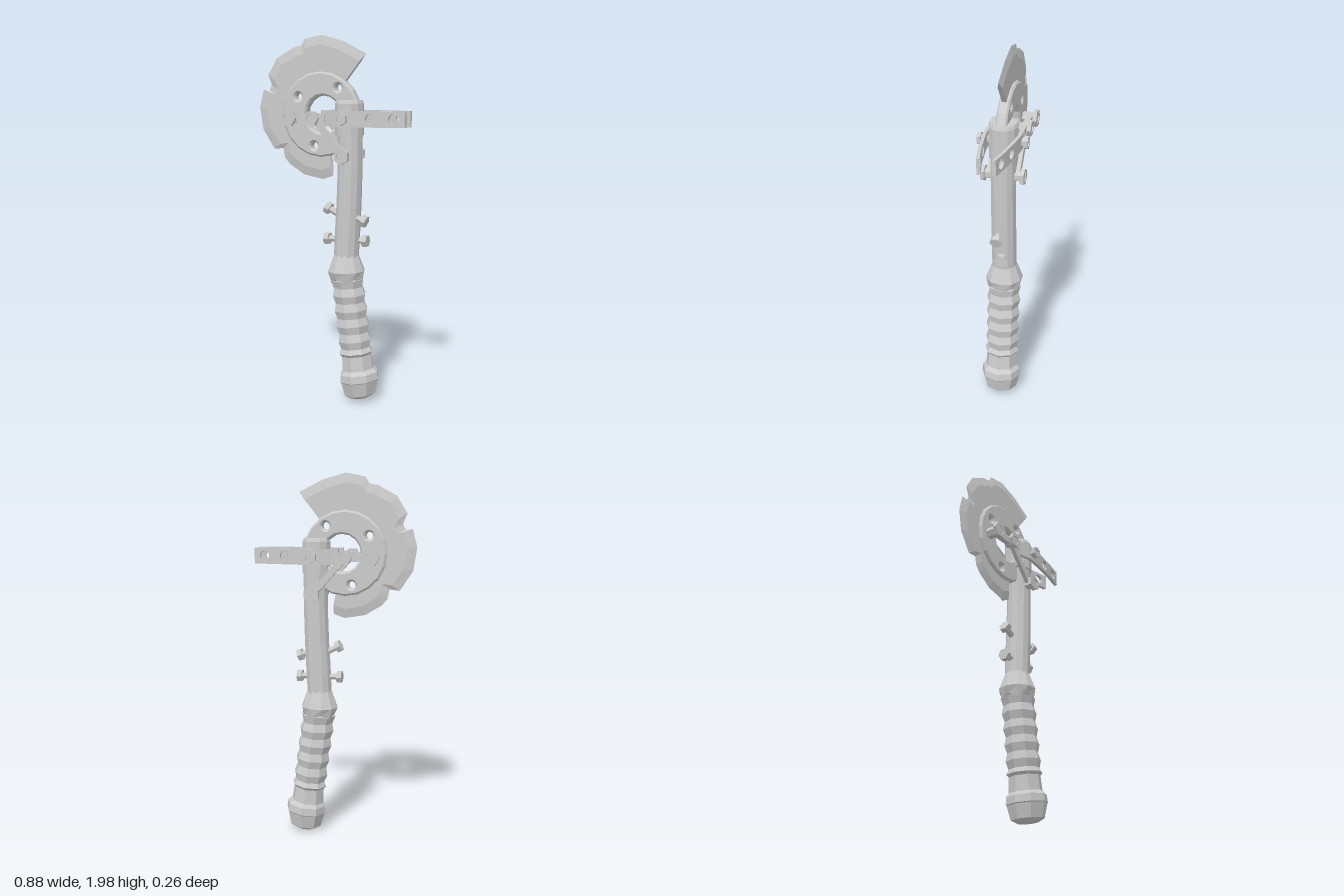
import * as THREE from 'three';

const mat = new THREE.MeshStandardMaterial({ color: 0xcccccc, flatShading: true, side: THREE.DoubleSide });

function add(parent, name, geo) {
  const mesh = new THREE.Mesh(geo, mat);
  mesh.name = name;
  parent.add(mesh);
  return mesh;
}

function fromTriangles(tris) {
  const geo = new THREE.BufferGeometry();
  geo.setAttribute('position', new THREE.Float32BufferAttribute(tris.flat(), 3));
  geo.computeVertexNormals();
  return geo;
}

// Stack of rings, bottom to top; each row is [x, y, radius, tilt, zigzag]
function loft(rows, sides) {
  const rings = rows.map(([x, y, r, tilt = 0, zig = 0]) =>
    Array.from({ length: sides }, (_, i) => {
      const a = (i / sides) * Math.PI * 2, u = Math.cos(a) * r, h = i % 2 ? zig : -zig;
      return [x + u * Math.cos(tilt) - h * Math.sin(tilt), y + u * Math.sin(tilt) + h, Math.sin(a) * r];
    }));
  const t = [], last = rings.length - 1;
  for (let i = 0; i < sides; i++) {
    const j = (i + 1) % sides;
    for (let k = 0; k < last; k++) {
      const lo = rings[k], up = rings[k + 1];
      t.push(lo[i], up[i], lo[j], up[i], up[j], lo[j]);
    }
    t.push([rows[0][0], rows[0][1], 0], rings[0][i], rings[0][j]);
    t.push([rows[last][0], rows[last][1], 0], rings[last][j], rings[last][i]);
  }
  return fromTriangles(t);
}

function circle(Kind, x, y, r, n, turn = 0) {
  return new Kind(Array.from({ length: n }, (_, i) => {
    const a = (i / n) * Math.PI * 2 + turn;
    return new THREE.Vector2(x + Math.cos(a) * r, y + Math.sin(a) * r);
  }));
}

// Flat plate whose faces lie at z and z + depth, on side s of the head
function plate(parent, name, shape, z, depth, s) {
  const geo = new THREE.ExtrudeGeometry(shape, { depth, bevelEnabled: false });
  geo.translate(0, 0, s > 0 ? z : -z - depth);
  return add(parent, name, geo);
}

// Straight bar between two points in the xy plane
function barShape(x0, y0, x1, y1, w) {
  const d = Math.hypot(x1 - x0, y1 - y0), nx = (-(y1 - y0) / d) * w / 2, ny = ((x1 - x0) / d) * w / 2;
  return new THREE.Shape([[x0 - nx, y0 - ny], [x1 - nx, y1 - ny], [x1 + nx, y1 + ny], [x0 + nx, y0 + ny]]
    .map(p => new THREE.Vector2(...p)));
}

const C = [-0.055, 1.58]; // centre of the round blade

function bladeGeometry() {
  const outline = [[0.2, 1.9], [0.07, 1.965], [-0.055, 2], [-0.16, 1.98], [-0.18, 1.945], [-0.23, 1.935],
    [-0.255, 1.92], [-0.33, 1.88], [-0.385, 1.79], [-0.363, 1.735], [-0.378, 1.705], [-0.415, 1.71],
    [-0.44, 1.615], [-0.42, 1.49], [-0.35, 1.385], [-0.295, 1.39], [-0.285, 1.34], [-0.255, 1.305],
    [-0.165, 1.25], [-0.05, 1.23], [0.01, 1.25], [0.013, 1.29]];
  // Wedge section at every outline point: back face, sharp edge, front face
  const sec = outline.map(([x, y]) => {
    const dx = x - C[0], dy = y - C[1], d = Math.hypot(dx, dy);
    const at = (r, z) => [C[0] + dx / d * r, C[1] + dy / d * r, z];
    return [at(0.2, -0.012), at(d - 0.05, -0.012), [x, y, 0], at(d - 0.05, 0.012), at(0.2, 0.012)];
  });
  const t = [];
  for (let i = 0; i < sec.length - 1; i++) {
    const a = sec[i], b = sec[i + 1];
    for (let k = 0; k < 4; k++) t.push(a[k], b[k], a[k + 1], b[k], b[k + 1], a[k + 1]);
  }
  const s = sec[0], e = sec[sec.length - 1];
  for (let k = 1; k < 4; k++) t.push(s[0], s[k], s[k + 1], e[0], e[k + 1], e[k]);
  return fromTriangles(t);
}

// Strap bent around the collar: [x, inner z] along its length
function strap(parent, s) {
  const nodes = [[-0.03, 0.05], [0.03, 0.066], [0.08, 0.08], [0.13, 0.08], [0.2, 0.072], [0.32, 0.055], [0.44, 0.03]];
  const group = new THREE.Group();
  group.name = 'bentStrap';
  parent.add(group);
  for (let i = 0; i < nodes.length - 1; i++) {
    const [x0, z0] = nodes[i], [x1, z1] = nodes[i + 1];
    const shape = barShape(x0, 1.562, x1, 1.562, 0.085);
    if (i > 3) shape.holes.push(circle(THREE.Path, i === 4 ? 0.26 : 0.38, 1.562, 0.028, 12));
    const geo = new THREE.ExtrudeGeometry(shape, { depth: 0.018, bevelEnabled: false });
    const p = geo.attributes.position;
    for (let v = 0; v < p.count; v++) {
      const inner = z0 + (z1 - z0) * (p.getX(v) - x0) / (x1 - x0);
      p.setZ(v, p.getZ(v) + (s > 0 ? inner : -inner - 0.018));
    }
    geo.computeVertexNormals();
    add(group, 'strapSegment', geo);
  }
}

// Hex nut with a recessed stud, facing outwards in z
function nut(parent, name, x, y, r, z0, z1, s, turn = 0) {
  const group = new THREE.Group();
  group.name = name;
  parent.add(group);
  const ring = circle(THREE.Shape, x, y, r, 6, turn);
  ring.holes.push(circle(THREE.Path, x, y, r * 0.62, 6, turn));
  plate(group, 'nutRing', ring, z1 - 0.02, 0.02, s);
  plate(group, 'stud', circle(THREE.Shape, x, y, r * 0.64, 6, turn), z0, z1 - 0.006 - z0, s);
}

// Small bolt sticking out of the shaft, from base point to head end
function shaftBolt(parent, from, to) {
  const a = new THREE.Vector3(...from), b = new THREE.Vector3(...to), len = a.distanceTo(b);
  const group = new THREE.Group();
  group.name = 'shaftBolt';
  group.position.copy(a);
  group.quaternion.setFromUnitVectors(new THREE.Vector3(0, 1, 0), b.clone().sub(a).normalize());
  parent.add(group);
  add(group, 'boltShank', new THREE.CylinderGeometry(0.018, 0.018, len, 6)).position.y = len / 2;
  add(group, 'boltHead', new THREE.CylinderGeometry(0.034, 0.034, 0.028, 6)).position.y = len - 0.014;
}

export function createModel() {
  const model = new THREE.Group();
  model.name = 'handAxe';

  // Pommel
  add(model, 'pommel', loft([[0.178, 0.03, 0.055, 0.15], [0.177, 0.05, 0.09, 0.15], [0.173, 0.125, 0.108, 0.14],
    [0.172, 0.13, 0.112, 0.14], [0.168, 0.17, 0.108, 0.14], [0.163, 0.19, 0.09, 0.14]], 8));

  // Ribbed grip
  const grip = [[0.165, 0.16, 0.092, 0.14], [0.153, 0.27, 0.085, 0.13], [0.151, 0.285, 0.097, 0.13]];
  for (let i = 0; i <= 9; i++) {
    const y = 0.31 + i * 0.042;
    grip.push([0.148 - 0.052 * i / 9, y, i % 2 ? 0.095 : 0.083, 0.13 - 0.008 * i]);
  }
  add(model, 'grip', loft(grip, 8));

  // Flared ferrule with a jagged lower rim, and the shaft
  add(model, 'ferrule', loft([[0.095, 0.685, 0.088, 0.05, 0.013], [0.09, 0.735, 0.102, 0.03], [0.09, 0.825, 0.068]], 10));
  add(model, 'shaft', loft([[0.09, 0.8, 0.068], [0.097, 0.95, 0.069], [0.105, 1.1, 0.068], [0.111, 1.3, 0.067],
    [0.111, 1.5, 0.067]], 12));
  add(model, 'collar', loft([[0.106, 1.473, 0.077], [0.106, 1.64, 0.077], [0.106, 1.658, 0.07]], 12));

  // Blade and its bevelled hub
  add(model, 'blade', bladeGeometry());
  const disc = circle(THREE.Shape, C[0], C[1], 0.218, 20);
  disc.holes.push(circle(THREE.Path, C[0] + 0.015, C[1], 0.112, 16));
  for (const [x, y] of [[-0.187, 1.673], [0.05, 1.722], [-0.092, 1.411]])
    disc.holes.push(circle(THREE.Path, x, y, 0.032, 10));
  const hub = new THREE.ExtrudeGeometry(disc, { depth: 0.04, bevelThickness: 0.009, bevelSize: 0.01, bevelSegments: 1 });
  add(model, 'bladeHub', hub.translate(0, 0, -0.02));

  // Mirrored fittings on the two faces of the head
  for (const s of [1, -1]) {
    const side = new THREE.Group();
    side.name = s > 0 ? 'frontFittings' : 'backFittings';
    model.add(side);
    strap(side, s);
    plate(side, 'linkPlate', barShape(-0.21, 1.562, 0, 1.562, 0.04), 0.055, 0.03, s);
    plate(side, 'diagonalLink', barShape(-0.07, 1.562, 0.107, 1.367, 0.036), 0.066, 0.022, s);
    nut(side, 'outerNut', -0.21, 1.562, 0.048, 0.02, 0.11, s);
    nut(side, 'innerNut', -0.07, 1.562, 0.042, 0.045, 0.11, s);
    nut(side, 'lowerNut', 0.107, 1.367, 0.045, 0.05, 0.115, s, Math.PI / 6);
    nut(side, 'collarNut', 0.11, 1.562, 0.035, 0.07, 0.132, s, Math.PI / 6);
  }

  // Bolts through the shaft
  shaftBolt(model, [0.06, 1.035, 0], [-0.03, 1.08, 0]);
  shaftBolt(model, [0.13, 1.04, 0.016], [0.215, 1.012, 0.016]);
  shaftBolt(model, [0.06, 0.905, 0], [-0.037, 0.905, 0]);
  shaftBolt(model, [0.13, 0.905, -0.01], [0.212, 0.905, -0.01]);

  return model;
}
